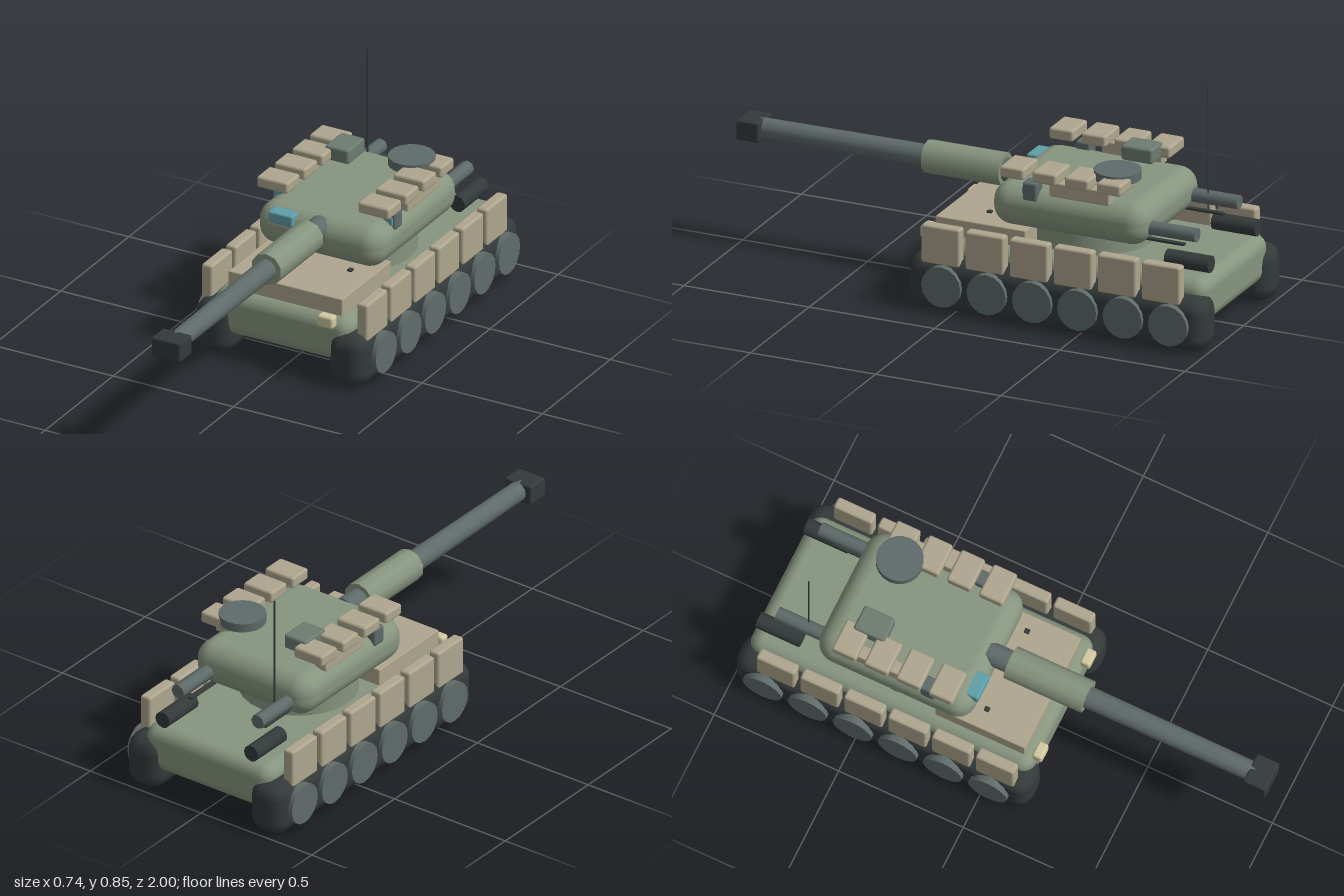
import * as THREE from 'three';
import { RoundedBoxGeometry } from 'three/addons/geometries/RoundedBoxGeometry.js';

const paint = (color) => new THREE.MeshStandardMaterial({ color });
const GREEN = paint(0x87957f), BEIGE = paint(0xaea68e), STEEL = paint(0x5f6b6a), DARK = paint(0x343a3a);
const HATCH = paint(0x6d7c71), GLASS = paint(0x5f9fa8), CREAM = paint(0xd2c9a0);

export function createModel() {
  const model = new THREE.Group();
  model.name = 'tank';

  const add = (name, geometry, material, x, y, z) => {
    const mesh = new THREE.Mesh(geometry, material);
    mesh.name = name;
    mesh.position.set(x, y, z);
    model.add(mesh);
    return mesh;
  };

  // Rounded block given by its limits on each axis
  const block = (name, material, [x0, x1], [y0, y1], [z0, z1], radius = 0.01, segments = 2) =>
    add(name, new RoundedBoxGeometry(x1 - x0, y1 - y0, z1 - z0, segments, radius), material,
      (x0 + x1) / 2, (y0 + y1) / 2, (z0 + z1) / 2);

  // The same block on both sides; x limits are for the +x side
  const pair = (name, material, [x0, x1], y, z, radius, segments) => {
    block(name + 'Left', material, [x0, x1], y, z, radius, segments);
    block(name + 'Right', material, [-x1, -x0], y, z, radius, segments);
  };

  // Cylinder lying along z, from z0 to z1
  const rod = (name, material, x, y, z0, z1, rBack, rFront = rBack, sides = 12) => {
    const geometry = new THREE.CylinderGeometry(rFront, rBack, z1 - z0, sides).rotateX(Math.PI / 2);
    return add(name, geometry, material, x, y, (z0 + z1) / 2);
  };

  // Hull and front deck
  block('hull', GREEN, [-0.285, 0.285], [0.08, 0.26], [-0.975, 0.16], 0.05, 3);
  block('frontDeck', BEIGE, [-0.237, 0.237], [0.24, 0.325], [-0.24, 0.12], 0.005, 1);
  pair('headlight', CREAM, [0.167, 0.232], [0.228, 0.275], [0.145, 0.185], 0.01);

  // Running gear
  pair('track', DARK, [0.2, 0.355], [0, 0.21], [-1, 0.185], 0.06, 2);
  for (const side of [1, -1]) {
    for (let i = 0; i < 6; i++) {
      const wheel = new THREE.CylinderGeometry(0.078, 0.078, 0.05, 16).rotateZ(Math.PI / 2);
      add('roadWheel', wheel, STEEL, side * 0.347, 0.108, 0.035 - i * 0.181);
    }
  }
  for (let i = 0; i < 6; i++) {
    const z = 0.05 - i * 0.176;
    pair('sideSkirt', BEIGE, [0.3, 0.345], [0.18, 0.33], [z - 0.077, z + 0.077], 0.01);
  }

  // Turret on its ring
  add('turretRing', new THREE.CylinderGeometry(0.22, 0.22, 0.1, 24), GREEN, 0, 0.295, -0.41);
  block('turret', GREEN, [-0.26, 0.26], [0.33, 0.493], [-0.72, -0.1], 0.072, 4);
  block('gunnerWindow', GLASS, [-0.192, -0.09], [0.44, 0.485], [-0.15, -0.09], 0.008);

  // Gun
  rod('barrel', STEEL, 0, 0.45, -0.14, 0.93, 0.044, 0.038);
  rod('barrelSleeve', GREEN, 0, 0.45, -0.05, 0.26, 0.063, 0.063, 10);
  block('muzzleBrake', DARK, [-0.06, 0.06], [0.41, 0.487], [0.91, 1], 0.008);

  // Roof sights, rails and armour bricks
  pair('sightHousing', STEEL, [0.197, 0.256], [0.45, 0.522], [-0.293, -0.235], 0.01);
  pair('sightLens', GLASS, [0.206, 0.246], [0.468, 0.502], [-0.25, -0.23], 0.005);
  pair('brickRail', BEIGE, [0.2, 0.25], [0.48, 0.537], [-0.58, -0.34], 0.006);
  for (let i = 0; i < 4; i++) {
    const z = -0.202 - i * 0.129;
    pair('roofBrick', BEIGE, [0.146, 0.275], [0.533, 0.578], [z - 0.048, z + 0.048], 0.01);
  }
  block('roofBox', HATCH, [-0.173, -0.074], [0.53, 0.588], [-0.6, -0.475], 0.01);
  add('roofHatch', new THREE.CylinderGeometry(0.087, 0.087, 0.034, 20), STEEL, 0.14, 0.57, -0.563);

  // Rear exhausts, canisters, small fittings
  for (const side of [1, -1]) {
    rod('exhaust', DARK, side * 0.2, 0.303, -0.965, -0.79, 0.032);
    rod('canister', STEEL, side * 0.18, 0.398, -0.9, -0.68, 0.028, 0.028, 8);
  }
  pair('rearBar', DARK, [0.157, 0.177], [0.344, 0.354], [-0.845, -0.69], 0.003, 1);
  pair('deckStud', DARK, [0.157, 0.176], [0.343, 0.352], [-0.075, -0.055], 0.003, 1);

  // Whip antenna
  add('antenna', new THREE.CylinderGeometry(0.003, 0.003, 0.495, 6), DARK, -0.167, 0.5975, -0.78);

  return model;
}
